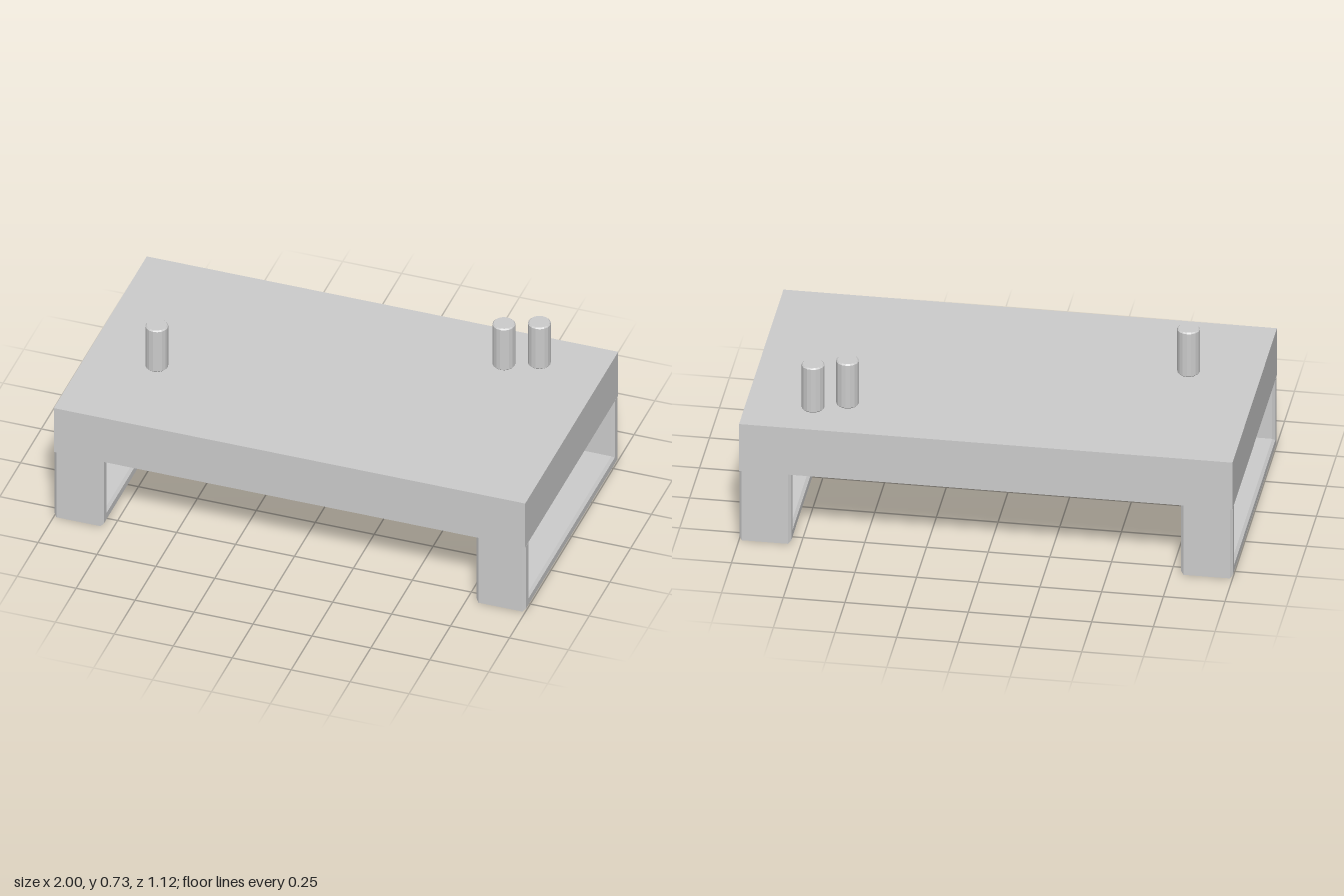
import * as THREE from 'three';

const material = new THREE.MeshStandardMaterial({ color: 0xcccccc, flatShading: true });

function addPart(group, name, geometry, x, y, z) {
  const mesh = new THREE.Mesh(geometry, material);
  mesh.name = name;
  mesh.position.set(x, y, z);
  group.add(mesh);
  return mesh;
}

// U-shaped leg frame in the z-y plane with chamfered edges, centred on x
function legFrameGeometry() {
  const half = 0.56, inner = 0.508, top = 0.327, bar = 0.052, bevel = 0.011, width = 0.21;
  const shape = new THREE.Shape([
    [-half, 0], [half, 0], [half, top], [inner, top],
    [inner, bar], [-inner, bar], [-inner, top], [-half, top],
  ].map(([x, y]) => new THREE.Vector2(x, y)));
  return new THREE.ExtrudeGeometry(shape, {
    depth: width - 2 * bevel,
    bevelEnabled: true,
    bevelSegments: 1,
    bevelThickness: bevel,
    bevelSize: bevel,
    bevelOffset: -bevel,
  }).translate(0, 0, bevel - width / 2).rotateY(Math.PI / 2);
}

// Upright peg with slightly chamfered rims
function pegGeometry() {
  const r = 0.046, h = 0.203, b = 0.005;
  const profile = [[0, 0], [r - b, 0], [r, b], [r, h - b], [r - b, h], [0, h]];
  return new THREE.LatheGeometry(profile.map(([x, y]) => new THREE.Vector2(x, y)), 16);
}

export function createModel() {
  const model = new THREE.Group();
  model.name = 'table';

  // Thick top slab
  addPart(model, 'tableTop', new THREE.BoxGeometry(2, 0.214, 1.12), 0, 0.424, 0);

  // Leg frames at both ends
  const frame = legFrameGeometry();
  addPart(model, 'leftLegFrame', frame, 0.895, 0, 0);
  addPart(model, 'rightLegFrame', frame, -0.895, 0, 0);

  // Pegs standing on the top
  const peg = pegGeometry();
  [[-0.708, 0.148], [0.598, -0.325], [0.729, -0.38]].forEach(([x, z], i) =>
    addPart(model, `peg${i + 1}`, peg, x, 0.531, z));

  return model;
}
